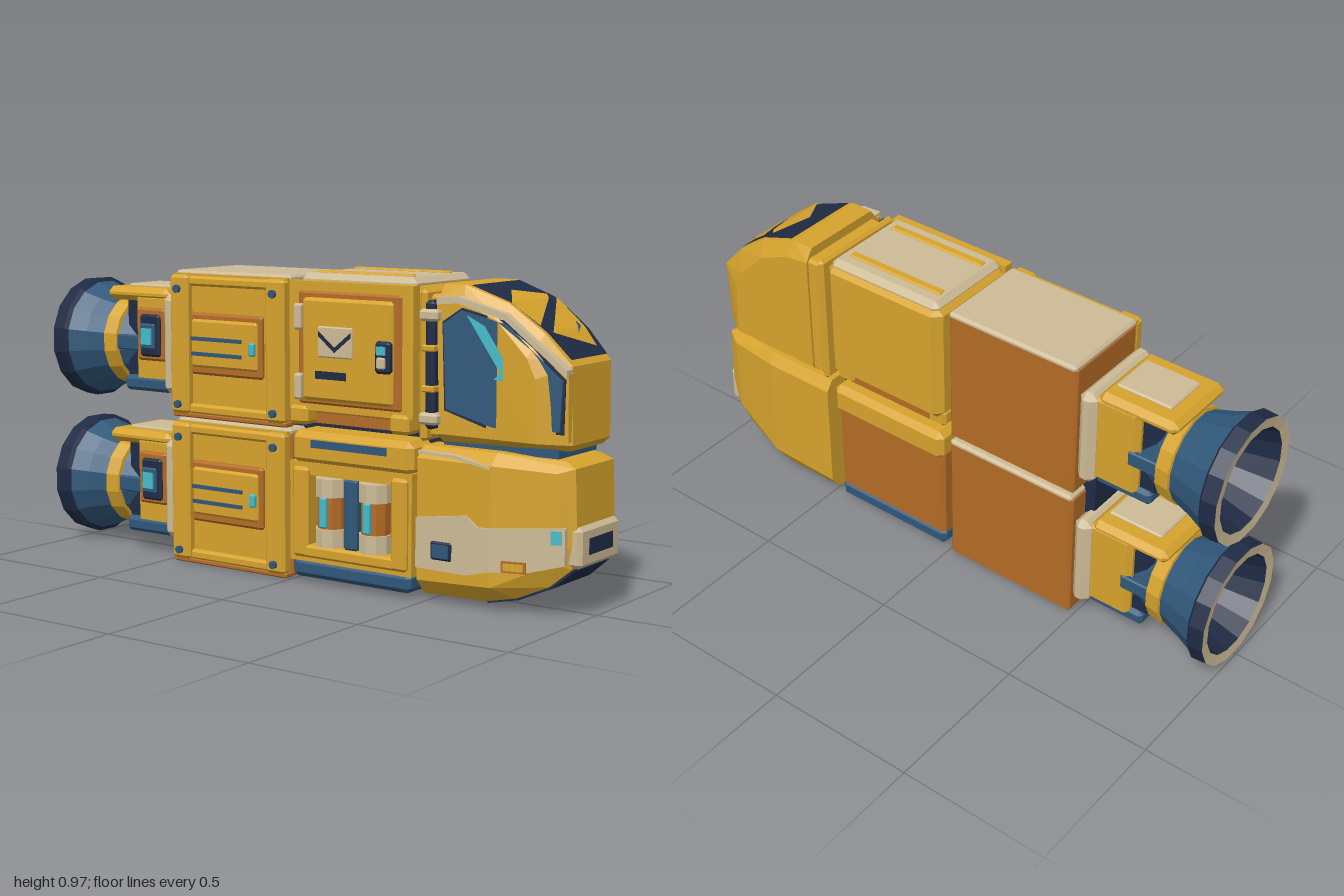
import * as THREE from 'three';
import { ConvexGeometry } from 'three/addons/geometries/ConvexGeometry.js';

const paint = (name, color, side = THREE.FrontSide) => {
  const m = new THREE.MeshStandardMaterial({ color, side });
  m.name = name;
  return m;
};
const yellow = paint('yellow', 0xd6a32d), orange = paint('orange', 0xb46c26), cream = paint('cream', 0xcdbb96);
const blue = paint('steelBlue', 0x30587a), navy = paint('navy', 0x1f2b45), cyan = paint('cyan', 0x46bccb);
const STACK = 0.482; // height step between the two storeys

function add(parent, name, geo, mat) {
  const m = new THREE.Mesh(geo, mat);
  m.name = name;
  parent.add(m);
  return m;
}
const hull = (parent, name, mat, pts) =>
  add(parent, name, new ConvexGeometry(pts.map(p => new THREE.Vector3(...p))), mat);

// Box given by its limits, with chamfered edges when c > 0
function box(parent, name, mat, x0, x1, y0, y1, z0, z1, c = 0) {
  if (!c) {
    const g = new THREE.BoxGeometry(x1 - x0, y1 - y0, z1 - z0);
    g.translate((x0 + x1) / 2, (y0 + y1) / 2, (z0 + z1) / 2);
    return add(parent, name, g, mat);
  }
  const pts = [];
  for (const [x, i] of [[x0, 1], [x1, -1]]) for (const [y, j] of [[y0, 1], [y1, -1]]) for (const [z, k] of [[z0, 1], [z1, -1]])
    pts.push([x, y + j * c, z + k * c], [x + i * c, y, z + k * c], [x + i * c, y + j * c, z]);
  return hull(parent, name, mat, pts);
}

// Front-facing plate from an outline; slope swings it back along x from x0
function plate(parent, name, mat, outline, z, depth, slope = 0, x0 = 0, hole = null) {
  const s = new THREE.Shape(outline.map(p => new THREE.Vector2(...p)));
  if (hole) s.holes.push(new THREE.Path(hole.map(p => new THREE.Vector2(...p))));
  const g = new THREE.ExtrudeGeometry(s, { depth, bevelEnabled: false });
  const p = g.attributes.position;
  for (let i = 0; i < p.count; i++) p.setZ(i, p.getZ(i) + z - slope * (p.getX(i) - x0));
  g.computeVertexNormals();
  return add(parent, name, g, mat);
}
const rect = (x0, x1, y0, y1) => [[x0, y0], [x1, y0], [x1, y1], [x0, y1]];

function group(parent, name, y = 0) {
  const g = new THREE.Group();
  g.name = name;
  g.position.y = y;
  parent.add(g);
  return g;
}

// Faceted part turned about the thruster axis; points are [radius, distance towards -x]
function turned(parent, name, mat, pts) {
  let g = new THREE.LatheGeometry(pts.map(p => new THREE.Vector2(...p)), 16, Math.PI / 16);
  g = g.toNonIndexed();
  g.computeVertexNormals();
  const m = add(parent, name, g, mat);
  m.rotation.z = Math.PI / 2;
  m.position.set(0, 0.222, -0.02);
}

function thruster(root, y) {
  const g = group(root, 'thruster', y);
  turned(g, 'neck', blue, [[0.1, 0.6], [0.11, 0.69], [0.14, 0.77]]);
  turned(g, 'nozzleBand', yellow, [[0.1, 0.752], [0.148, 0.762], [0.156, 0.81], [0.13, 0.818]]);
  turned(g, 'bell', blue, [[0.143, 0.8], [0.168, 0.88], [0.197, 0.95]]);
  turned(g, 'rim', navy, [[0.19, 0.938], [0.206, 0.95], [0.203, 1.0]]);
  turned(g, 'rimFace', cream, [[0.203, 1.0], [0.168, 0.996]]);
  turned(g, 'bellInside', navy, [[0.168, 0.996], [0.1, 0.81], [0, 0.81]]);
  box(g, 'core', navy, -0.75, -0.54, 0.1, 0.38, -0.125, 0.09, 0.015);
  box(g, 'housing', yellow, -0.69, -0.53, 0.085, 0.39, -0.15, 0.112, 0.015);
  box(g, 'topCover', yellow, -0.815, -0.545, 0.365, 0.41, -0.155, 0.115, 0.018);
  box(g, 'topPad', cream, -0.76, -0.57, 0.4, 0.418, -0.095, 0.06, 0.005);
  box(g, 'base', blue, -0.735, -0.54, 0.065, 0.115, -0.14, 0.118, 0.012);
  box(g, 'mountPlate', cream, -0.548, -0.488, 0.068, 0.395, -0.172, 0.142, 0.02);
  for (const z of [-0.155, 0.1]) box(g, 'sideStrut', blue, -0.78, -0.66, 0.2, 0.25, z, z + 0.02, 0.004);
  box(g, 'screenFrame', orange, -0.668, -0.548, 0.17, 0.345, 0.1, 0.128, 0.008);
  box(g, 'screenPanel', navy, -0.645, -0.56, 0.185, 0.325, 0.12, 0.14, 0.008);
  box(g, 'screenBezel', blue, -0.638, -0.575, 0.21, 0.295, 0.13, 0.148, 0.005);
  box(g, 'screen', cyan, -0.628, -0.584, 0.226, 0.28, 0.14, 0.152);
}

function cargo(root, y) {
  const g = group(root, 'cargoModule', y);
  box(g, 'crate', orange, -0.485, -0.012, 0.005, 0.468, -0.17, 0.135, 0.008);
  box(g, 'lid', cream, -0.482, -0.015, 0.455, 0.478, -0.176, 0.14, 0.008);
  box(g, 'frontPanel', yellow, -0.478, -0.02, 0.015, 0.468, 0.12, 0.15);
  for (const x of [-0.48, -0.09]) {
    box(g, 'post', yellow, x, x + 0.075, 0.015, 0.465, 0.135, 0.178, 0.01);
    for (const by of [0.045, 0.42]) {
      const b = add(g, 'bolt', new THREE.CylinderGeometry(0.013, 0.013, 0.014, 8), blue);
      b.rotation.x = Math.PI / 2;
      b.position.set(x + 0.0375, by, 0.183);
    }
  }
  for (const [y0, y1] of [[0.015, 0.048], [0.43, 0.462]]) box(g, 'rail', yellow, -0.41, -0.085, y0, y1, 0.14, 0.168, 0.008);
  box(g, 'sill', orange, -0.48, -0.015, 0.002, 0.018, 0.12, 0.165, 0.004);
  box(g, 'hatchFrame', orange, -0.402, -0.11, 0.145, 0.345, 0.14, 0.166, 0.008);
  box(g, 'hatch', yellow, -0.392, -0.122, 0.17, 0.325, 0.15, 0.177, 0.008);
  for (const [x1, ly] of [[-0.18, 0.263], [-0.18, 0.214]]) box(g, 'hatchSlot', blue, -0.385, x1, ly - 0.006, ly + 0.006, 0.172, 0.183);
  box(g, 'hatchLight', cyan, -0.146, -0.124, 0.22, 0.262, 0.172, 0.19, 0.004);
}

function locker(root) {
  const g = group(root, 'locker');
  box(g, 'body', yellow, 0.01, 0.465, 0.535, 0.955, -0.195, 0.155, 0.028);
  box(g, 'roof', cream, 0.022, 0.448, 0.93, 0.97, -0.185, 0.14, 0.018);
  for (const z of [-0.12, 0.08]) box(g, 'roofRail', yellow, 0.05, 0.41, 0.962, 0.976, z - 0.015, z + 0.015, 0.005);
  box(g, 'floor', orange, 0.03, 0.45, 0.505, 0.54, -0.16, 0.13);
  plate(g, 'frontFrame', yellow, rect(0.01, 0.468, 0.55, 0.948), 0.14, 0.035, 0, 0, rect(0.05, 0.428, 0.575, 0.915));
  box(g, 'doorSurround', orange, 0.045, 0.43, 0.57, 0.92, 0.14, 0.182, 0.008);
  box(g, 'door', yellow, 0.07, 0.405, 0.585, 0.9, 0.16, 0.196, 0.01);
  for (const x of [0.01, 0.385]) box(g, 'foot', yellow, x, x + 0.07, 0.503, 0.565, -0.17, 0.185, 0.012);
  for (const y of [0.585, 0.8]) box(g, 'hinge', cream, 0.044, 0.072, y, y + 0.08, 0.17, 0.205, 0.006);
  // mail symbol: plate with a V fold
  box(g, 'envelope', cream, 0.135, 0.265, 0.72, 0.815, 0.19, 0.202, 0.004);
  plate(g, 'envelopeFold', navy, [[0.14, 0.8], [0.2, 0.752], [0.26, 0.8], [0.26, 0.785], [0.2, 0.737], [0.14, 0.785]], 0.2, 0.004);
  box(g, 'mailSlot', navy, 0.125, 0.24, 0.653, 0.677, 0.19, 0.2);
  box(g, 'handle', navy, 0.352, 0.406, 0.685, 0.782, 0.185, 0.212, 0.008);
  box(g, 'handleGrip', cream, 0.364, 0.394, 0.7, 0.735, 0.205, 0.22, 0.004);
  box(g, 'handleLight', cyan, 0.364, 0.394, 0.742, 0.768, 0.205, 0.217);
}

function canisterBay(root) {
  const g = group(root, 'canisterBay');
  box(g, 'body', orange, 0.015, 0.455, 0.06, 0.4, -0.17, 0.125, 0.01);
  box(g, 'header', yellow, 0.01, 0.462, 0.378, 0.482, -0.19, 0.175, 0.02);
  box(g, 'headerSlot', blue, 0.095, 0.375, 0.434, 0.458, 0.17, 0.181);
  plate(g, 'bayFrame', yellow, rect(0.003, 0.46, 0.07, 0.385), 0.1, 0.065, 0, 0, rect(0.08, 0.39, 0.125, 0.345));
  for (const [x0, x1] of [[0.02, 0.08], [0.39, 0.448]]) box(g, 'bayPost', yellow, x0, x1, 0.085, 0.37, 0.15, 0.182, 0.01);
  box(g, 'bayLedge', yellow, 0.06, 0.41, 0.085, 0.125, 0.14, 0.18, 0.008);
  box(g, 'base', blue, 0.012, 0.455, 0.018, 0.078, -0.175, 0.17, 0.015);
  box(g, 'divider', blue, 0.21, 0.26, 0.125, 0.345, 0.115, 0.17, 0.006);
  for (const x of [0.15, 0.314]) {
    const c = group(g, 'canister');
    for (const [name, mat, r, y0, y1] of [['cell', orange, 0.047, 0.18, 0.29], ['lowerCap', cream, 0.054, 0.128, 0.185], ['upperCap', cream, 0.054, 0.285, 0.342]]) {
      const geo = new THREE.CylinderGeometry(r, r, y1 - y0, 10).toNonIndexed();
      geo.computeVertexNormals();
      add(c, name, geo, mat).position.set(x, (y0 + y1) / 2, 0.142);
    }
    box(c, 'gauge', cyan, x - 0.013, x + 0.013, 0.19, 0.285, 0.18, 0.198, 0.004);
  }
}

// Windscreen slope as [x, y], from roof to nose
const brow = [[0.62, 0.957], [0.76, 0.907], [0.87, 0.825], [0.952, 0.735]];
function browX(y) {
  const i = y > brow[1][1] ? 0 : y > brow[2][1] ? 1 : 2;
  const [a, b] = [brow[i], brow[i + 1]];
  return a[0] + (b[0] - a[0]) * (a[1] - y) / (a[1] - b[1]);
}

// Triangle given as [z, y] corners, draped over the windscreen slope
function drape(parent, name, mat, lift, a, b, c) {
  if ((a[0] - b[0]) * (c[1] - a[1]) - (a[0] - c[0]) * (b[1] - a[1]) < 0) [b, c] = [c, b];
  const n = 14, v = [];
  const put = (i, j) => {
    const z = a[0] + (b[0] - a[0]) * i / n + (c[0] - a[0]) * j / n;
    const y = a[1] + (b[1] - a[1]) * i / n + (c[1] - a[1]) * j / n;
    v.push(browX(y) + lift, y + lift, z);
  };
  for (let i = 0; i < n; i++) for (let j = 0; j < n - i; j++) {
    put(i, j); put(i + 1, j); put(i, j + 1);
    if (j < n - i - 1) { put(i + 1, j); put(i + 1, j + 1); put(i, j + 1); }
  }
  const g = new THREE.BufferGeometry();
  g.setAttribute('position', new THREE.Float32BufferAttribute(v, 3));
  g.computeVertexNormals();
  add(parent, name, g, mat);
}

function cabin(root) {
  const g = group(root, 'cabin');
  box(g, 'rearCollar', yellow, 0.482, 0.508, 0.49, 0.94, -0.185, 0.168, 0.01);
  box(g, 'neck', yellow, 0.5, 0.56, 0.5, 0.925, -0.178, 0.14, 0.01);
  const pts = [[0.545, 0.957, 0.125], [0.545, 0.957, -0.158]];
  brow.forEach(([x, y], i) => pts.push([x, y, 0.13 - i * 0.015], [x, y, -0.16 + i * 0.005]));
  for (const [x, y] of [[0.545, 0.915], [0.63, 0.905], [0.74, 0.86], [0.84, 0.76], [0.87, 0.7], [0.88, 0.515], [0.545, 0.515]])
    pts.push([x, y, 0.155], [x, y, -0.186]);
  for (const x of [0.545, 0.945]) pts.push([x, 0.49, x < 0.9 ? 0.13 : 0.08], [x, 0.49, x < 0.9 ? -0.16 : -0.12]);
  pts.push([0.962, 0.51, 0.095], [0.962, 0.51, -0.13]);
  hull(g, 'shell', yellow, pts);
  // windscreen and its angular reflections
  drape(g, 'windscreen', navy, 0.003, [0.122, 0.953], [-0.152, 0.953], [-0.14, 0.75]);
  drape(g, 'windscreen', navy, 0.003, [0.122, 0.953], [-0.14, 0.75], [0.075, 0.75]);
  drape(g, 'windscreenFlash', yellow, 0.006, [0.122, 0.905], [0.0, 0.932], [-0.125, 0.915]);
  drape(g, 'windscreenFlash', yellow, 0.006, [0.122, 0.905], [-0.125, 0.915], [0.1, 0.842]);
  drape(g, 'windscreenFlash', yellow, 0.006, [0.072, 0.822], [-0.142, 0.905], [-0.108, 0.772]);
  drape(g, 'windscreenGlint', blue, 0.008, [-0.055, 0.81], [-0.1, 0.842], [-0.1, 0.828]);
  // slanting side door with window and trim
  const door = [[0.55, 0.91], [0.62, 0.915], [0.76, 0.872], [0.955, 0.715], [0.958, 0.52], [0.56, 0.52]];
  plate(g, 'sideDoor', yellow, door, 0.14, 0.035, 0.15, 0.55);
  const glass = [[0.575, 0.845], [0.63, 0.885], [0.77, 0.85], [0.942, 0.695], [0.935, 0.55], [0.73, 0.55], [0.585, 0.595]];
  plate(g, 'windowSeal', navy, [[0.57, 0.85], [0.63, 0.892], [0.775, 0.857], [0.948, 0.7], [0.945, 0.542], [0.72, 0.542], [0.578, 0.59]], 0.165, 0.014, 0.15, 0.55);
  plate(g, 'sideWindow', blue, glass, 0.175, 0.009, 0.15, 0.55);
  plate(g, 'windowGlint', cyan, [[0.65, 0.872], [0.705, 0.842], [0.788, 0.71], [0.775, 0.685], [0.735, 0.69], [0.755, 0.71]], 0.183, 0.004, 0.15, 0.55);
  plate(g, 'windowTrim', cream, [[0.555, 0.9], [0.555, 0.922], [0.62, 0.925], [0.765, 0.882], [0.955, 0.728], [0.955, 0.705], [0.765, 0.862], [0.62, 0.905]], 0.15, 0.036, 0.15, 0.55);
  // door hinge
  box(g, 'hingeRod', navy, 0.512, 0.545, 0.53, 0.91, 0.13, 0.185, 0.01);
  for (const y of [0.545, 0.85]) box(g, 'hingeBracket', cream, 0.5, 0.565, y, y + 0.035, 0.14, 0.2, 0.008);
  for (const y of [0.64, 0.76]) box(g, 'hingeClamp', yellow, 0.506, 0.55, y, y + 0.02, 0.14, 0.192, 0.004);
}

function nose(root) {
  const g = group(root, 'nose');
  const under = [[0.7, 0.026], [0.8, 0.047], [0.9, 0.092], [0.968, 0.15]];
  const pts = [];
  under.forEach(([x, y], i) => pts.push([x, y, 0.13 - i * 0.01], [x, y, -0.158 + i * 0.01]));
  for (const [x, y, a, b] of [[0.485, 0.022, 0.13, -0.155], [0.485, 0.475, 0.14, -0.165], [0.74, 0.475, 0.14, -0.165], [0.94, 0.462, 0.09, -0.12], [0.976, 0.445, 0.1, -0.13], [0.984, 0.25, 0.1, -0.13],
    [0.485, 0.07, 0.174, -0.19], [0.74, 0.08, 0.174, -0.19], [0.93, 0.17, 0.128, -0.158], [0.485, 0.44, 0.174, -0.19], [0.74, 0.44, 0.174, -0.19], [0.93, 0.43, 0.128, -0.158]])
    pts.push([x, y, a], [x, y, b]);
  hull(g, 'shell', yellow, pts);
  // dark skid under the nose
  const skid = [];
  under.forEach(([x, y], i) => {
    for (const z of [0.122 - i * 0.01, -0.15 + i * 0.01]) skid.push([x + 0.004, y - 0.006, z], [x - 0.01, y + 0.015, z]);
  });
  hull(g, 'skid', navy, skid);
  // cream side band in two straight runs, then the bumper
  plate(g, 'sideBand', cream, [[0.485, 0.11], [0.66, 0.108], [0.74, 0.128], [0.74, 0.257], [0.7, 0.256], [0.66, 0.286], [0.485, 0.262]], 0.165, 0.017);
  plate(g, 'sideBandFront', cream, [[0.74, 0.128], [0.85, 0.135], [0.96, 0.165], [0.96, 0.275], [0.74, 0.257]], 0.162, 0.02, 0.25, 0.74);
  box(g, 'bumper', cream, 0.925, 1, 0.155, 0.276, -0.132, 0.106, 0.012);
  box(g, 'bumperGrille', navy, 0.99, 1.002, 0.192, 0.24, -0.086, 0.056);
  box(g, 'sideLamp', navy, 0.54, 0.612, 0.142, 0.198, 0.175, 0.188, 0.005);
  box(g, 'sideLampLens', blue, 0.548, 0.604, 0.15, 0.19, 0.18, 0.191);
  plate(g, 'markerLight', orange, rect(0.778, 0.85, 0.132, 0.166), 0.172, 0.014, 0.25, 0.74);
  plate(g, 'markerLens', yellow, rect(0.785, 0.843, 0.138, 0.16), 0.18, 0.009, 0.25, 0.74);
  plate(g, 'cornerLight', cyan, rect(0.92, 0.95, 0.225, 0.265), 0.178, 0.007, 0.25, 0.74);
  plate(g, 'upperTrim', cream, [[0.49, 0.455], [0.62, 0.45], [0.74, 0.428], [0.74, 0.436], [0.62, 0.46], [0.49, 0.464]], 0.16, 0.02);
  box(g, 'seam', blue, 0.53, 0.92, 0.468, 0.5, -0.125, 0.1);
}

export function createModel() {
  const root = new THREE.Group();
  root.name = 'modularShip';
  for (const y of [0, STACK]) {
    thruster(root, y);
    cargo(root, y);
  }
  locker(root);
  canisterBay(root);
  cabin(root);
  nose(root);
  // hidden spine joining the modules
  box(root, 'spine', navy, -0.52, 0.6, 0.15, 0.8, -0.1, 0.06);
  return root;
}
